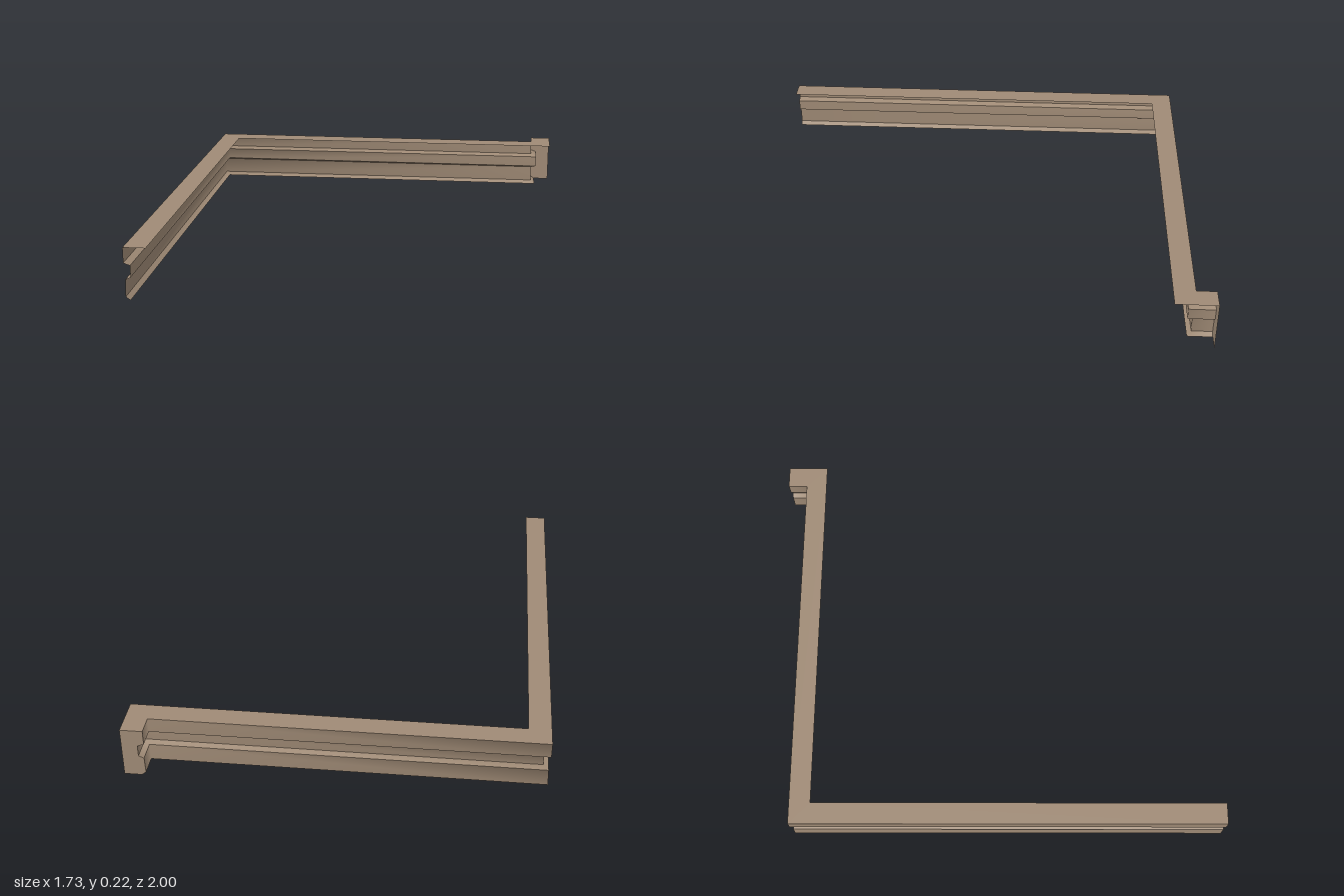
import * as THREE from 'three';

// Moulding cross-section: [inset from the outer edge, height], top to bottom
const PROFILE = [
  [0.094, 0.222], [0, 0.222], [0, 0.157], [0.027, 0.147], [0.027, 0.097],
  [0.005, 0.087], [0.003, 0.014], [0.022, 0],
];
const BANDS = ['topLedge', 'upperBand', 'upperStep', 'recess', 'lowerStep', 'lowerBand', 'bottomLip'];

// Outer edge seen from above: [x, z, whether the mitre also shifts z]
const PATH = [
  [-0.862, 1, 0], [-0.862, -0.914, 1], [0.77, -0.914, 1], [0.77, -1, 0],
];

// One strip between two profile points, swept along the mitred path
function bandGeometry(a, b) {
  const positions = [], index = [];
  PATH.forEach(([x, z, mitre], i) => {
    for (const [inset, y] of [a, b]) positions.push(x + inset, y, z + inset * mitre);
    if (i > 0) {
      const k = 2 * (i - 1);
      index.push(k, k + 2, k + 1, k + 1, k + 2, k + 3);
    }
  });
  const geometry = new THREE.BufferGeometry();
  geometry.setAttribute('position', new THREE.Float32BufferAttribute(positions, 3));
  geometry.setIndex(index);
  geometry.computeVertexNormals(); // shared corners shade smoothly around the mitre
  return geometry;
}

export function createModel() {
  const model = new THREE.Group();
  model.name = 'cornerMoulding';
  const stone = new THREE.MeshStandardMaterial({ color: 0xa08b76, side: THREE.DoubleSide });
  stone.name = 'warm taupe';

  // Swept bands of the moulding
  BANDS.forEach((name, i) => {
    const mesh = new THREE.Mesh(bandGeometry(PROFILE[i], PROFILE[i + 1]), stone);
    mesh.name = name;
    model.add(mesh);
  });

  // Flat plate closing the short return at the back
  const [x, z] = PATH[PATH.length - 1];
  const outline = PROFILE.map(([inset, y]) => new THREE.Vector2(x + inset, y));
  outline.push(new THREE.Vector2(x + PROFILE[0][0], 0));
  const cap = new THREE.Mesh(new THREE.ShapeGeometry(new THREE.Shape(outline)), stone);
  cap.geometry.rotateY(Math.PI).scale(-1, 1, 1); // face the back
  cap.geometry.index.array.reverse();
  cap.geometry.index.array.reverse();
  cap.geometry.computeVertexNormals();
  cap.position.z = z;
  cap.name = 'endCap';
  model.add(cap);

  return model;
}
